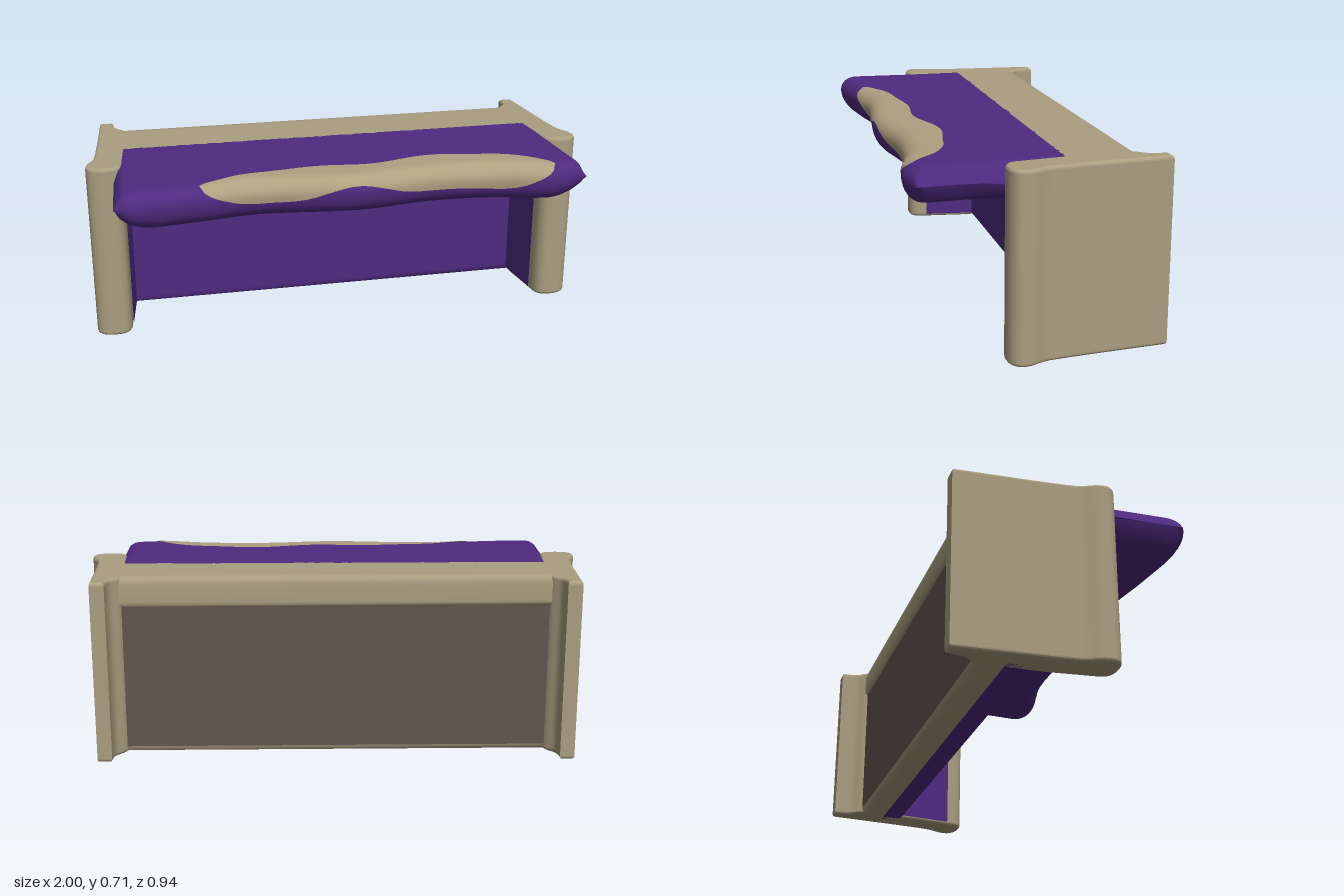
import * as THREE from 'three';

const tan = new THREE.MeshStandardMaterial({ color: 0xaa9e80 });
const brown = new THREE.MeshStandardMaterial({ color: 0x62564e });
const purple = new THREE.MeshStandardMaterial({ color: 0x4f2a80, side: THREE.DoubleSide });
const tanSkin = new THREE.MeshStandardMaterial({ color: 0xb0a080, side: THREE.DoubleSide });

// Smooth sheet through point(u, v), both running 0..1
function sheet(name, material, nu, nv, point) {
  const pos = [], index = [];
  for (let i = 0; i <= nu; i++) {
    for (let j = 0; j <= nv; j++) {
      pos.push(...point(i / nu, j / nv));
      if (i < nu && j < nv) {
        const a = i * (nv + 1) + j, c = a + nv + 1;
        index.push(a, a + 1, c, c, a + 1, c + 1);
      }
    }
  }
  const g = new THREE.BufferGeometry();
  g.setAttribute('position', new THREE.Float32BufferAttribute(pos, 3));
  g.setIndex(index);
  g.computeVertexNormals();
  const mesh = new THREE.Mesh(g, material);
  mesh.name = name;
  return mesh;
}

// Part of the body: a [y, z] profile carried from side to side
function strip(name, material, profile) {
  const n = profile.length - 1;
  return sheet(name, material, 1, n, (u, v) => [-0.87 + 1.74 * u, ...profile[Math.round(v * n)]]);
}

// Wavy front edge of the shelf
const edge = new THREE.SplineCurve([
  [-0.92, 0.435], [-0.84, 0.462], [-0.6, 0.435], [-0.36, 0.405], [0, 0.44],
  [0.3, 0.403], [0.55, 0.415], [0.76, 0.465], [0.92, 0.44],
].map(p => new THREE.Vector2(...p)));
const edgePoints = edge.getPoints(200);
function frontZ(x) {
  const k = Math.max(1, edgePoints.findIndex(p => p.x >= x));
  const a = edgePoints[k - 1], b = edgePoints[k];
  return a.y + (b.y - a.y) * (x - a.x) / (b.x - a.x || 1);
}

// Rounded narrowing towards the shelf ends, beginning at |x| = start
function taper(x, start) {
  const d = Math.max(0, Math.abs(x) - start) / (0.92 - start);
  return Math.sqrt(Math.max(0, 1 - d * d));
}

// Shelf skin: t runs from the top back, round the nose, to the bottom back
function shelfPoint(x, t, lift = 0) {
  const top = 0.06 * taper(x, 0.86) + lift;
  const bottom = 0.09 * taper(x, 0.76) + lift;
  const back = Math.abs(x) > 0.89 ? 0.1 : -0.1;
  const bend = frontZ(x) - 0.075;
  let y, z;
  if (t < 0.3) {
    y = top;
    z = back + (bend - back) * t / 0.3;
  } else if (t <= 0.7) {
    const a = Math.PI * (t - 0.3) / 0.4;
    y = Math.cos(a) * (a < Math.PI / 2 ? top : bottom);
    z = bend + (0.075 + lift) * Math.sin(a) ** 0.85;
  } else {
    // The underside sags where it meets the front panel
    const s = (t - 0.7) / 0.3;
    y = -bottom - 0.035 * s ** 3;
    z = bend + (back - 0.06 - bend) * s;
  }
  return [x * (0.975 + 0.06 * Math.max(0, z - 0.14)), 0.65 + y, z];
}

// Plan outline of one side panel flaring into a front post, extruded upwards
function sidePanelGeometry() {
  const bevel = 0.014;
  const s = new THREE.Shape();
  s.moveTo(0.882, 0.456);
  s.lineTo(0.912, 0.456);
  s.bezierCurveTo(0.925, 0.3, 0.938, 0.12, 0.95, 0.03);
  s.bezierCurveTo(0.955, -0.03, 0.986, -0.04, 0.986, -0.085);
  s.bezierCurveTo(0.986, -0.115, 0.95, -0.125, 0.92, -0.122);
  s.bezierCurveTo(0.88, -0.122, 0.875, -0.1, 0.872, -0.07);
  s.lineTo(0.85, 0.1);
  s.lineTo(0.835, 0.34);
  s.bezierCurveTo(0.845, 0.38, 0.882, 0.37, 0.882, 0.456);
  const g = new THREE.ExtrudeGeometry(s, {
    depth: 0.71 - 2 * bevel, bevelSize: bevel, bevelThickness: bevel, bevelSegments: 4, curveSegments: 10,
  });
  return g.rotateX(-Math.PI / 2).translate(0, bevel, 0);
}

// Mirror in x and swap corners so the faces still look outwards
function mirrored(g) {
  g.scale(-1, 1, 1);
  for (const key of ['position', 'normal']) {
    const v = g.attributes[key].array;
    for (let i = 0; i < v.length; i += 9) {
      for (let k = 3; k < 6; k++) [v[i + k], v[i + k + 3]] = [v[i + k + 3], v[i + k]];
    }
  }
  return g;
}

export function createModel() {
  const model = new THREE.Group();
  model.name = 'counter';

  // Body shell: top, front panel, underside and back
  model.add(strip('top', tan, [
    [0.59, -0.354], [0.597, -0.363], [0.61, -0.365], [0.68, -0.365], [0.698, -0.36],
    [0.707, -0.35], [0.71, -0.33], [0.71, -0.3], [0.71, -0.095],
  ]));
  model.add(strip('frontPanel', purple, [
    [0.58, -0.16], [0.03, -0.16], [0.01, -0.162], [0.002, -0.17], [0, -0.19], [0, -0.25],
  ]));
  model.add(strip('underside', tan, [
    [0, -0.25], [0, -0.32], [0.003, -0.338], [0.01, -0.35], [0.025, -0.354],
  ]));
  model.add(strip('backPanel', brown, [[0.025, -0.354], [0.59, -0.354]]));

  // Mirrored side panels
  const left = new THREE.Mesh(sidePanelGeometry(), tan);
  left.name = 'leftSidePanel';
  const right = new THREE.Mesh(mirrored(sidePanelGeometry()), tan);
  right.name = 'rightSidePanel';
  model.add(left, right);

  // Purple lining on the inner walls of the front recess
  for (const [name, side] of [['leftLining', 1], ['rightLining', -1]]) {
    model.add(sheet(name, purple, 1, 1, (u, v) =>
      [side * (0.828 + 0.026 * u), 0.012 + 0.55 * v, -0.16 + 0.22 * u]));
  }

  // Overhanging shelf with a wavy rounded nose
  model.add(sheet('shelf', purple, 92, 40, (u, v) => shelfPoint(-0.92 + 1.84 * u, v)));

  // Pale patch on the shelf nose, notched in the middle
  model.add(sheet('shelfPatch', tanSkin, 80, 16, (u, v) => {
    const x = -0.6 + 1.39 * u;
    const fade = Math.sqrt(Math.sin(Math.PI * Math.min(1, Math.min(u, 1 - u) * 6) / 2));
    const start = 0.245 + 0.06 * (1 - u) ** 4 + 0.008 * Math.sin(x * 14);
    const end = 0.545 - 0.11 * Math.exp(-((x / 0.15) ** 2)) + 0.01 * Math.cos(x * 9);
    const mid = 0.35;
    const t0 = mid + (start - mid) * fade, t1 = mid + (end - mid) * fade;
    return shelfPoint(x, t0 + (t1 - t0) * v, 0.003);
  }));

  return model;
}
